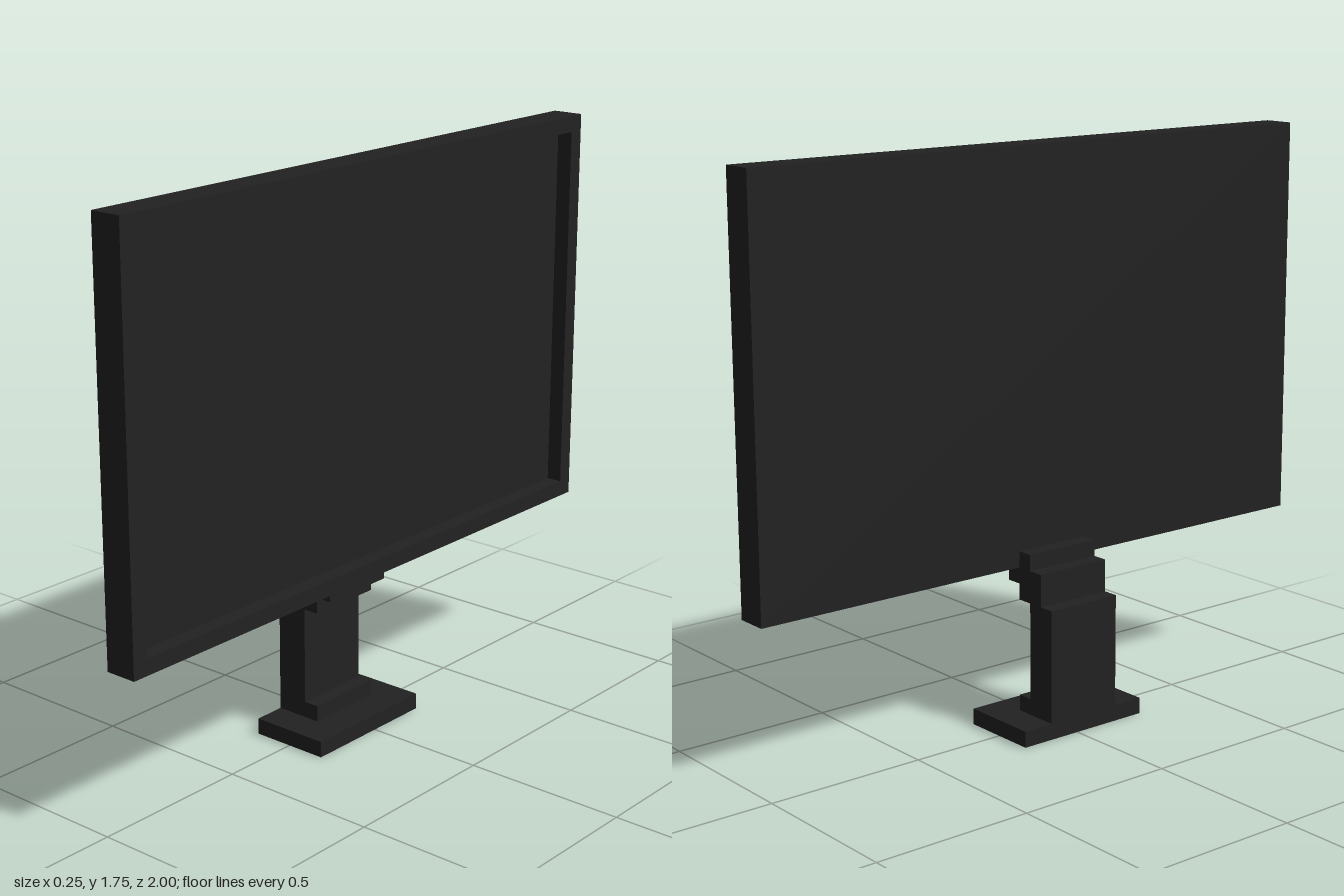
import * as THREE from 'three';

export function createModel() {
  const model = new THREE.Group();
  model.name = 'monitor';
  const black = new THREE.MeshStandardMaterial({ color: 0x222222 });
  black.name = 'matteBlack';

  // Box given by its lower and upper limits on each axis
  function addBox(parent, name, [x0, x1], [y0, y1], [z0, z1]) {
    const mesh = new THREE.Mesh(new THREE.BoxGeometry(x1 - x0, y1 - y0, z1 - z0), black);
    mesh.position.set((x0 + x1) / 2, (y0 + y1) / 2, (z0 + z1) / 2);
    mesh.name = name;
    parent.add(mesh);
  }

  // Closed rectangle, centred on the local x axis
  function rectangle(PathType, halfWidth, y0, y1) {
    const path = new PathType();
    path.moveTo(-halfWidth, y0);
    path.lineTo(halfWidth, y0);
    path.lineTo(halfWidth, y1);
    path.lineTo(-halfWidth, y1);
    path.closePath();
    return path;
  }

  // Display: solid back panel with a raised bezel around the recessed screen, facing +x
  const display = new THREE.Group();
  display.name = 'display';
  addBox(display, 'screenPanel', [0.025, 0.075], [0.5, 1.75], [-1, 1]);
  const outline = rectangle(THREE.Shape, 1, 0.5, 1.75);
  outline.holes.push(rectangle(THREE.Path, 0.95, 0.55, 1.7));
  const bezel = new THREE.Mesh(
    new THREE.ExtrudeGeometry(outline, { depth: 0.05, bevelEnabled: false }), black);
  bezel.rotation.y = Math.PI / 2;
  bezel.position.x = 0.075;
  bezel.name = 'bezel';
  display.add(bezel);

  // Stand: base plate, upright neck and stepped brackets under the display
  const stand = new THREE.Group();
  stand.name = 'stand';
  const neckZ = [-0.1, 0.15];
  addBox(stand, 'base', [-0.125, 0.125], [0, 0.05], [-0.2, 0.25]);
  addBox(stand, 'neckFoot', [-0.025, 0.025], [0.05, 0.1], neckZ);
  addBox(stand, 'neck', [-0.125, -0.025], [0.05, 0.4], neckZ);
  addBox(stand, 'lowerBracket', [-0.075, 0.025], [0.4, 0.5], neckZ);
  addBox(stand, 'upperBracketBack', [-0.025, 0.025], [0.5, 0.55], neckZ);
  addBox(stand, 'upperBracketFront', [0.025, 0.075], [0.45, 0.5], neckZ);

  model.add(display, stand);
  return model;
}
